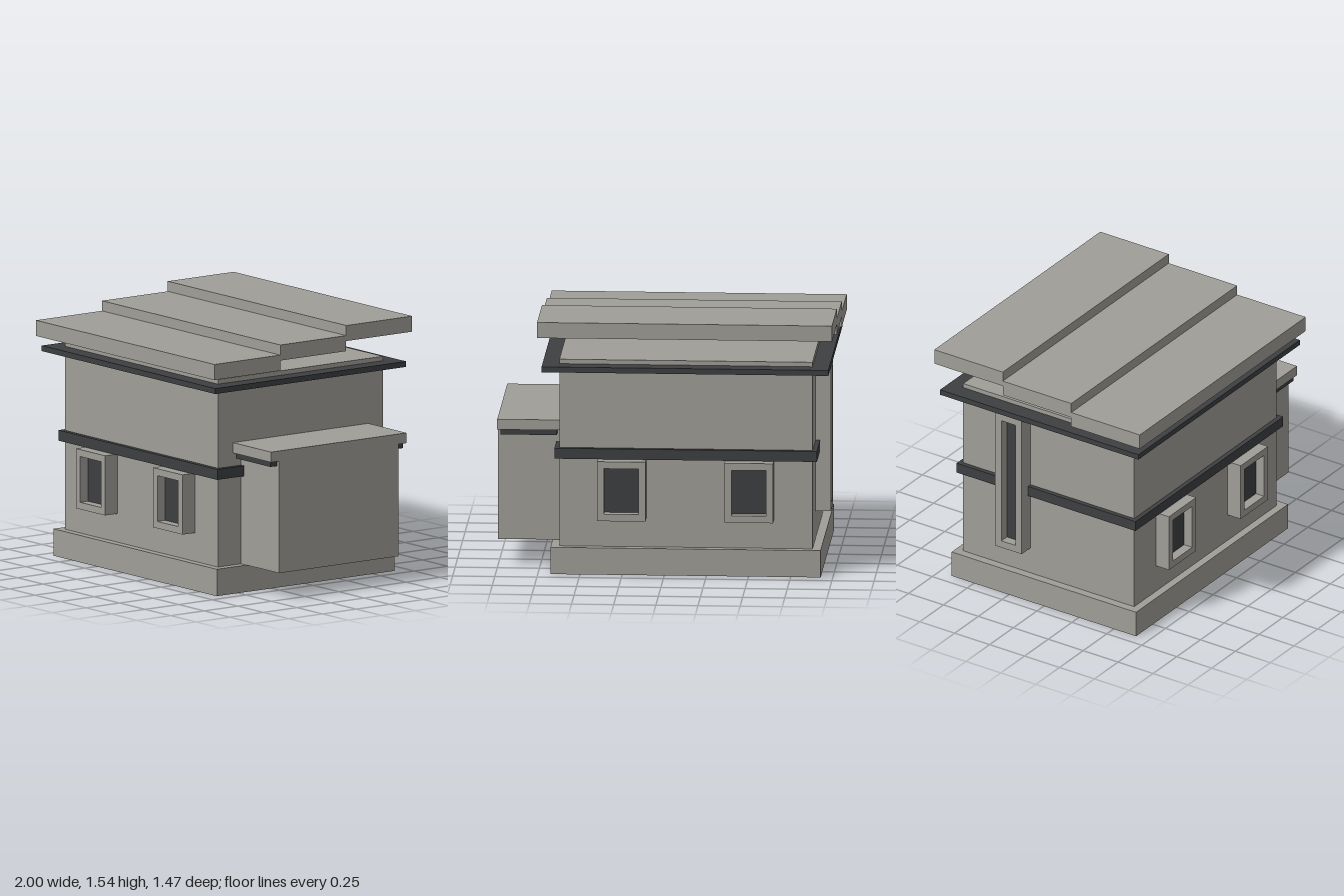
import * as THREE from 'three';

const stone = new THREE.MeshStandardMaterial({ color: 0xa09e98 });
const dark = new THREE.MeshStandardMaterial({ color: 0x3d3f41 });

// Box given by its limits on each axis
function block(name, [x0, x1], [y0, y1], [z0, z1], material = stone) {
  const mesh = new THREE.Mesh(new THREE.BoxGeometry(x1 - x0, y1 - y0, z1 - z0), material);
  mesh.position.set((x0 + x1) / 2, (y0 + y1) / 2, (z0 + z1) / 2);
  mesh.name = name;
  return mesh;
}

function rectangle(path, w, h) {
  path.moveTo(-w / 2, -h / 2);
  path.lineTo(w / 2, -h / 2);
  path.lineTo(w / 2, h / 2);
  path.lineTo(-w / 2, h / 2);
  path.closePath();
  return path;
}

// Projecting frame with a dark recessed pane; its back lies at z = 0
function makeWindow(name, w, h, border, depth) {
  const group = new THREE.Group();
  group.name = name;
  const shape = rectangle(new THREE.Shape(), w, h);
  const iw = w - 2 * border, ih = h - 2 * border;
  shape.holes.push(rectangle(new THREE.Path(), iw, ih));
  const frame = new THREE.Mesh(
    new THREE.ExtrudeGeometry(shape, { depth, bevelEnabled: false }), stone);
  frame.name = 'windowFrame';
  group.add(frame, block('windowPane', [-iw / 2, iw / 2], [-ih / 2, ih / 2], [0, 0.035], dark));
  return group;
}

export function createModel() {
  const model = new THREE.Group();
  model.name = 'house';

  // Main building with its dark bands
  model.add(
    block('base', [-0.928, 0.675], [0, 0.162], [-0.66, 0.66]),
    block('walls', [-0.877, 0.625], [0.162, 1.292], [-0.612, 0.612]),
    block('middleBand', [-0.905, 0.653], [0.695, 0.758], [-0.64, 0.64], dark),
    block('upperBand', [-0.977, 0.725], [1.232, 1.265], [-0.71, 0.71], dark)
  );

  // Side annex with cap and trim
  model.add(
    block('annex', [0.625, 1], [0.163, 0.838], [-0.443, 0.443]),
    block('annexTrim', [0.647, 0.98], [0.806, 0.838], [-0.492, 0.492], dark),
    block('annexCap', [0.625, 1], [0.838, 0.9], [-0.503, 0.503])
  );

  // Three stepped roof slabs, rising to the back
  for (let i = 0; i < 3; i++) {
    const front = 0.735 - i * 0.49, y = 1.323 + i * 0.061;
    model.add(block('roofSlab', [-1, 0.75], [y, y + 0.094], [front - 0.49, front]));
  }

  // Paired windows on front and back
  for (const side of [1, -1]) {
    for (const x of [-0.504, 0.253]) {
      const win = makeWindow('window', 0.288, 0.36, 0.042, 0.093);
      win.position.set(x, 0.514, side * 0.612);
      if (side < 0) win.rotation.y = Math.PI;
      model.add(win);
    }
  }

  // Tall narrow window on the end wall
  const tall = makeWindow('tallWindow', 0.19, 0.902, 0.045, 0.093);
  tall.position.set(-0.877, 0.781, -0.225);
  tall.rotation.y = -Math.PI / 2;
  model.add(tall);

  return model;
}
